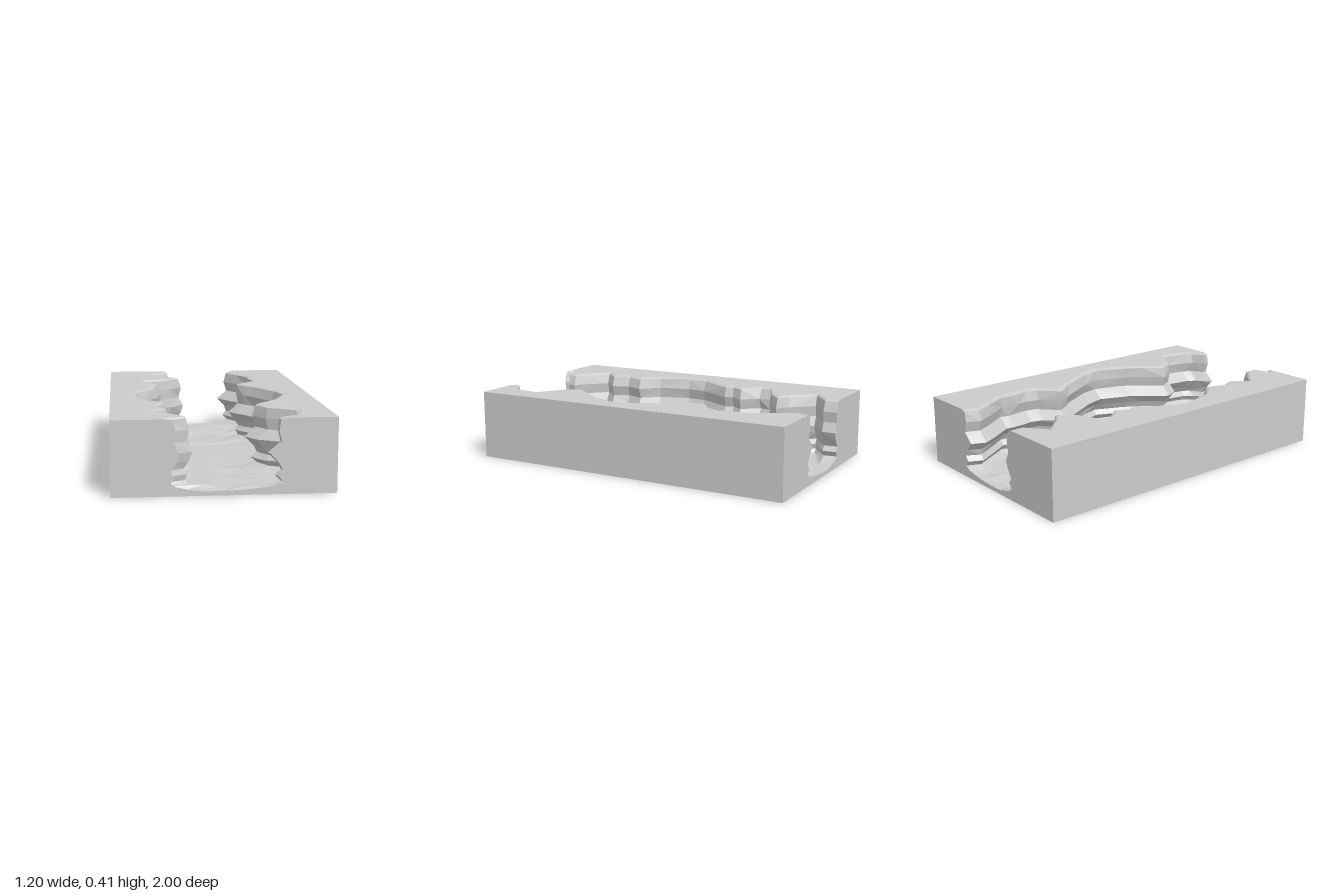
import * as THREE from 'three';

const HALF_WIDTH = 0.6, HEIGHT = 0.41;

// Canyon stations from back to front: [z, left wall x, right wall x]
const STATIONS = [
  [-1, -0.17, 0.19], [-0.92, -0.165, 0.155], [-0.82, -0.3, 0.21], [-0.69, -0.18, 0.29],
  [-0.64, -0.11, 0.285], [-0.56, -0.19, 0.29], [-0.5, -0.33, 0.3], [-0.43, -0.34, 0.28],
  [-0.33, -0.255, 0.17], [-0.26, -0.3, 0.21], [-0.21, -0.285, 0.25], [0, -0.4, 0.365],
  [0.12, -0.41, 0.4], [0.31, -0.355, 0.33], [0.41, -0.26, 0.255], [0.52, -0.3, 0.165],
  [0.62, -0.26, 0.22], [0.71, -0.335, 0.37], [0.87, -0.17, 0.345], [0.92, -0.165, 0.31],
  [0.97, -0.275, 0.23], [1, -0.24, 0.24],
];

// Rock strata from rim to foot: [y, left recess, right recess]
const STRATA = [
  [HEIGHT, 0.055, 0.085], [0.4, 0.035, 0.055], [0.34, 0.015, 0.045], [0.277, 0.025, 0.062],
  [0.22, 0, 0], [0.17, 0.02, 0.045], [0.13, 0.045, 0.068], [0.1, 0.025, 0.042],
  [0.068, 0.045, 0.068], [0.048, 0.015, 0.03],
];

// Floor points across the canyon: [fraction of width, y]
const FLOOR = [[0.13, 0.034], [0.27, 0.024], [0.46, 0.024], [0.68, 0.029], [0.86, 0.038]];

let seed = 7;
function jitter(amount) {
  seed = (seed * 16807) % 2147483647;
  return (seed / 2147483647 * 2 - 1) * amount;
}

// Closed cross-section, clockwise from the bottom left corner
function crossSection([z, left, right], index) {
  const isEnd = index === 0 || index === STATIONS.length - 1;
  const rough = isEnd ? 0 : 1;
  const wall = (x, side, column) => STRATA.map(([y, ...recess], i) => {
    const wobble = i === 4 ? 0 : jitter(0.007 * rough);
    return new THREE.Vector3(x + side * (recess[column] + wobble), y, z);
  });
  const leftWall = wall(left, -1, 0);
  const rightWall = wall(right, 1, 1).reverse();
  const x0 = leftWall[STRATA.length - 1].x, x1 = rightWall[0].x;
  const floor = FLOOR.map(([t, y]) => new THREE.Vector3(
    THREE.MathUtils.lerp(x0, x1, t + jitter(0.05 * rough)), y + jitter(0.011 * rough), z));
  return [
    new THREE.Vector3(-HALF_WIDTH, 0, z), new THREE.Vector3(-HALF_WIDTH, HEIGHT, z),
    ...leftWall, ...floor, ...rightWall,
    new THREE.Vector3(HALF_WIDTH, HEIGHT, z), new THREE.Vector3(HALF_WIDTH, 0, z),
  ];
}

// Facets joining neighbouring sections along columns first..last
function strip(sections, first, last) {
  const points = [];
  for (let i = 0; i < sections.length - 1; i++) {
    for (let j = first; j < last; j++) {
      const n = sections[i].length;
      const a = sections[i][j % n], b = sections[i][(j + 1) % n];
      const c = sections[i + 1][(j + 1) % n], d = sections[i + 1][j % n];
      // Alternate diagonals give an irregular rock surface
      if ((i + j) % 2) points.push(a, d, c, a, c, b);
      else points.push(a, d, b, b, d, c);
    }
  }
  const geometry = new THREE.BufferGeometry().setFromPoints(points);
  geometry.computeVertexNormals();
  return geometry;
}

function endFace(section, side) {
  const shape = new THREE.Shape(section.map(p => new THREE.Vector2(p.x * side, p.y)));
  const geometry = new THREE.ShapeGeometry(shape);
  if (side < 0) geometry.rotateY(Math.PI);
  return geometry.translate(0, 0, side);
}

export function createModel() {
  seed = 7;
  const group = new THREE.Group();
  group.name = 'canyonBlock';
  const material = new THREE.MeshStandardMaterial({ color: 0xcccccc, flatShading: true });
  const add = (name, geometry) => {
    const mesh = new THREE.Mesh(geometry, material);
    mesh.name = name;
    group.add(mesh);
  };

  const sections = STATIONS.map(crossSection);
  const n = sections[0].length;
  const leftFoot = 1 + STRATA.length;
  const rightFoot = leftFoot + FLOOR.length + 1;
  const rightRim = rightFoot + STRATA.length - 1;

  // Outer block
  add('leftSide', strip(sections, 0, 1));
  add('leftPlateau', strip(sections, 1, 2));
  add('rightPlateau', strip(sections, rightRim, rightRim + 1));
  add('rightSide', strip(sections, n - 2, n - 1));
  add('base', strip(sections, n - 1, n));
  add('frontFace', endFace(sections[sections.length - 1], 1));
  add('backFace', endFace(sections[0], -1));

  // Canyon
  add('leftCliff', strip(sections, 2, leftFoot));
  add('canyonFloor', strip(sections, leftFoot, rightFoot));
  add('rightCliff', strip(sections, rightFoot, rightRim));
  return group;
}
